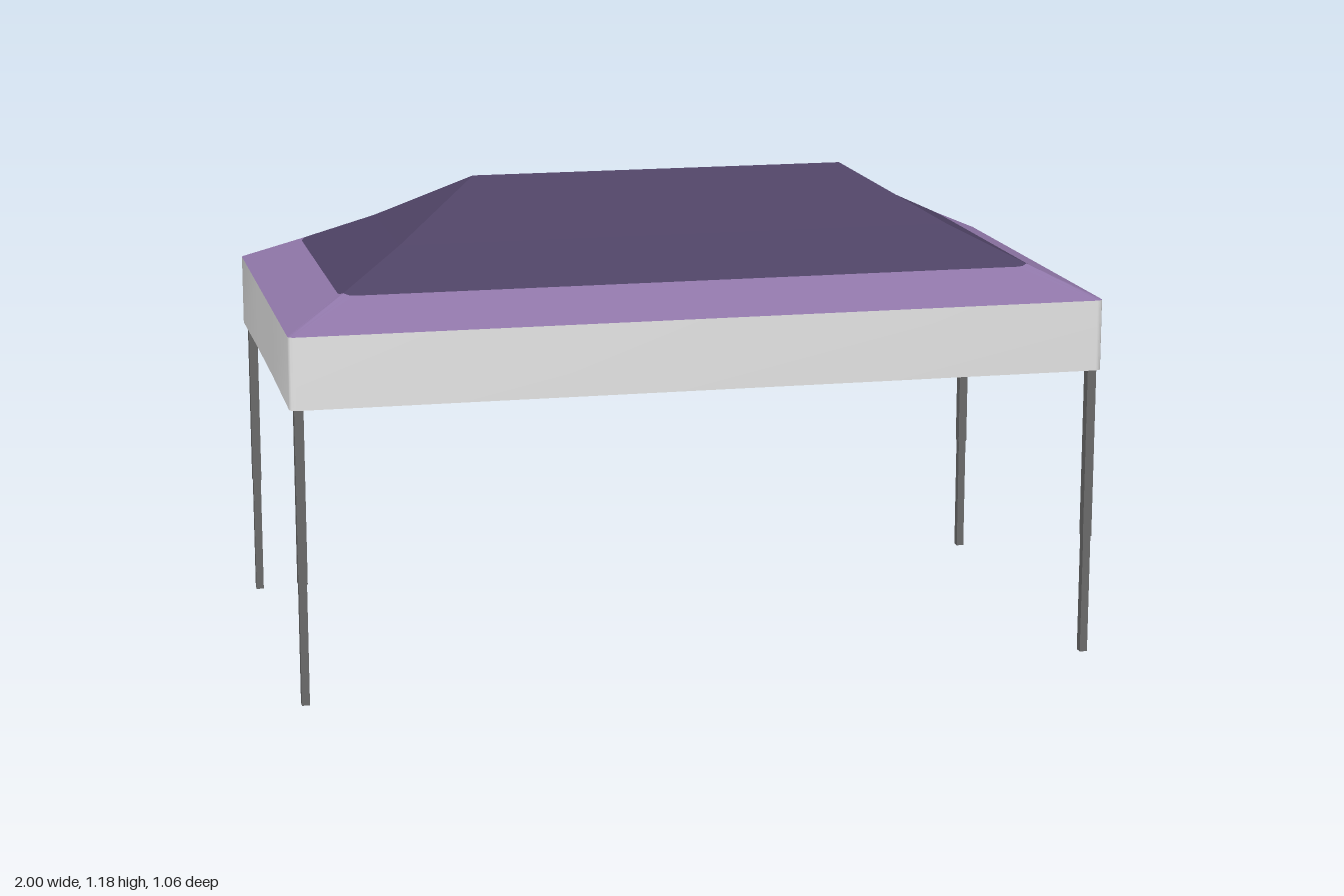
import * as THREE from 'three';
import { mergeVertices, toCreasedNormals } from 'three/addons/utils/BufferGeometryUtils.js';

const HX = 1, HZ = 0.528, BASE = 0.725, EAVE = 0.9;

// Closed rectangular loop with rounded corners and two extra points on each short side
function loop(hx, hz, r, y) {
  const height = typeof y === 'function' ? y : () => y;
  const pts = [];
  const add = (x, z) => pts.push(new THREE.Vector3(x, height(x, z), z));
  const corners = [[1, 1], [-1, 1], [-1, -1], [1, -1]];
  const mid = Math.min(0.16, hz);
  corners.forEach(([sx, sz], c) => {
    for (let k = 0; k <= 4; k++) {
      const a = (c + k / 4) * Math.PI / 2;
      add(sx * (hx - r) + r * Math.cos(a), sz * (hz - r) + r * Math.sin(a));
    }
    if (c === 1) { add(-hx, mid); add(-hx, -mid); }
    if (c === 3) { add(hx, -mid); add(hx, mid); }
  });
  return pts;
}

// Skin consecutive loops, leaving out collapsed triangles
function skin(loops) {
  const pos = [];
  const tri = (a, b, c) => {
    const area = b.clone().sub(a).cross(c.clone().sub(a)).length();
    if (area > 1e-8) [a, b, c].forEach(p => pos.push(p.x, p.y, p.z));
  };
  for (let l = 0; l < loops.length - 1; l++) {
    const a = loops[l], b = loops[l + 1];
    a.forEach((p, i) => {
      const j = (i + 1) % a.length;
      tri(p, b[i], a[j]);
      tri(a[j], b[i], b[j]);
    });
  }
  const g = new THREE.BufferGeometry();
  g.setAttribute('position', new THREE.Float32BufferAttribute(pos, 3));
  g.computeVertexNormals();
  return g;
}

// Roof height from the distance to the nearest eave
const profile = [[0, EAVE], [0.14, 0.965], [0.31, 1.05], [HZ, 1.178]];
function roofHeight(x, z) {
  const d = Math.min(HX - Math.abs(x), HZ - Math.abs(z));
  for (let i = 1; i < profile.length; i++) {
    const [d0, y0] = profile[i - 1], [d1, y1] = profile[i];
    if (d <= d1 + 1e-6) return y0 + (y1 - y0) * (d - d0) / (d1 - d0);
  }
  return profile[3][1];
}

export function createModel() {
  const model = new THREE.Group();
  const material = (name, color) => {
    const m = new THREE.MeshStandardMaterial({ color });
    m.name = name;
    return m;
  };
  const lilac = material('lilac fabric', 0x8f76a8);
  const plum = material('dark plum fabric', 0x4e4264);
  const white = material('white fabric', 0xe8e8e8);
  const metal = material('grey metal', 0x6c6c6c);
  const add = (name, geometry, mat, parent = model) => {
    const mesh = new THREE.Mesh(geometry, mat);
    mesh.name = name;
    parent.add(mesh);
    return mesh;
  };

  // Hipped roof: pale border and dark upper panel with rounded corners
  const roofLoop = (d, r) => loop(HX - d, HZ - d, r, roofHeight);
  const seam = roofLoop(0.14, 0.035);
  add('roofBorder', skin([loop(HX, HZ, 0.016, EAVE), seam]), lilac);
  add('roofPanel', skin([seam, roofLoop(0.31, 0), roofLoop(HZ, 0)]), plum);

  // Valance with a slight arch on the short sides and a thin hem
  const hemHeight = (x, z) => (Math.abs(x) > 0.9 && Math.abs(z) < 0.17 ? BASE + 0.006 : BASE);
  const hemOuter = loop(HX, HZ, 0.016, hemHeight);
  const hemInner = loop(HX - 0.005, HZ - 0.005, 0.012, hemHeight);
  const valance = skin([hemInner, hemOuter, loop(HX, HZ, 0.016, EAVE)]);
  add('valance', toCreasedNormals(valance, 0.7), white);

  // Smooth inner lining under the roof and behind the valance
  const under = (x, z) => roofHeight(x, z) - 0.01;
  const liningLoops = [
    loop(0, 0, 0, 0), // placeholder replaced by the ridge below
    loop(HX - 0.31, HZ - 0.31, 0, under),
    loop(HX - 0.14, HZ - 0.14, 0, under),
    loop(HX - 0.005, HZ - 0.005, 0.012, EAVE - 0.01),
    hemInner,
  ];
  liningLoops[0] = loop(HX - HZ, 0, 0, under);
  const lining = skin(liningLoops);
  lining.deleteAttribute('normal');
  const smoothLining = mergeVertices(lining, 1e-4);
  smoothLining.computeVertexNormals();
  add('lining', smoothLining, plum);

  // Telescoping corner legs
  for (const sx of [-1, 1]) for (const sz of [-1, 1]) {
    const leg = new THREE.Group();
    leg.name = `${sz > 0 ? 'front' : 'back'}${sx > 0 ? 'Left' : 'Right'}Leg`;
    leg.position.set(sx * 0.978, 0, sz * 0.506);
    add('lowerTube', new THREE.BoxGeometry(0.019, 0.32, 0.022), metal, leg).position.y = 0.16;
    add('upperTube', new THREE.BoxGeometry(0.022, 0.585, 0.026), metal, leg).position.y = 0.5925;
    model.add(leg);
  }
  return model;
}
